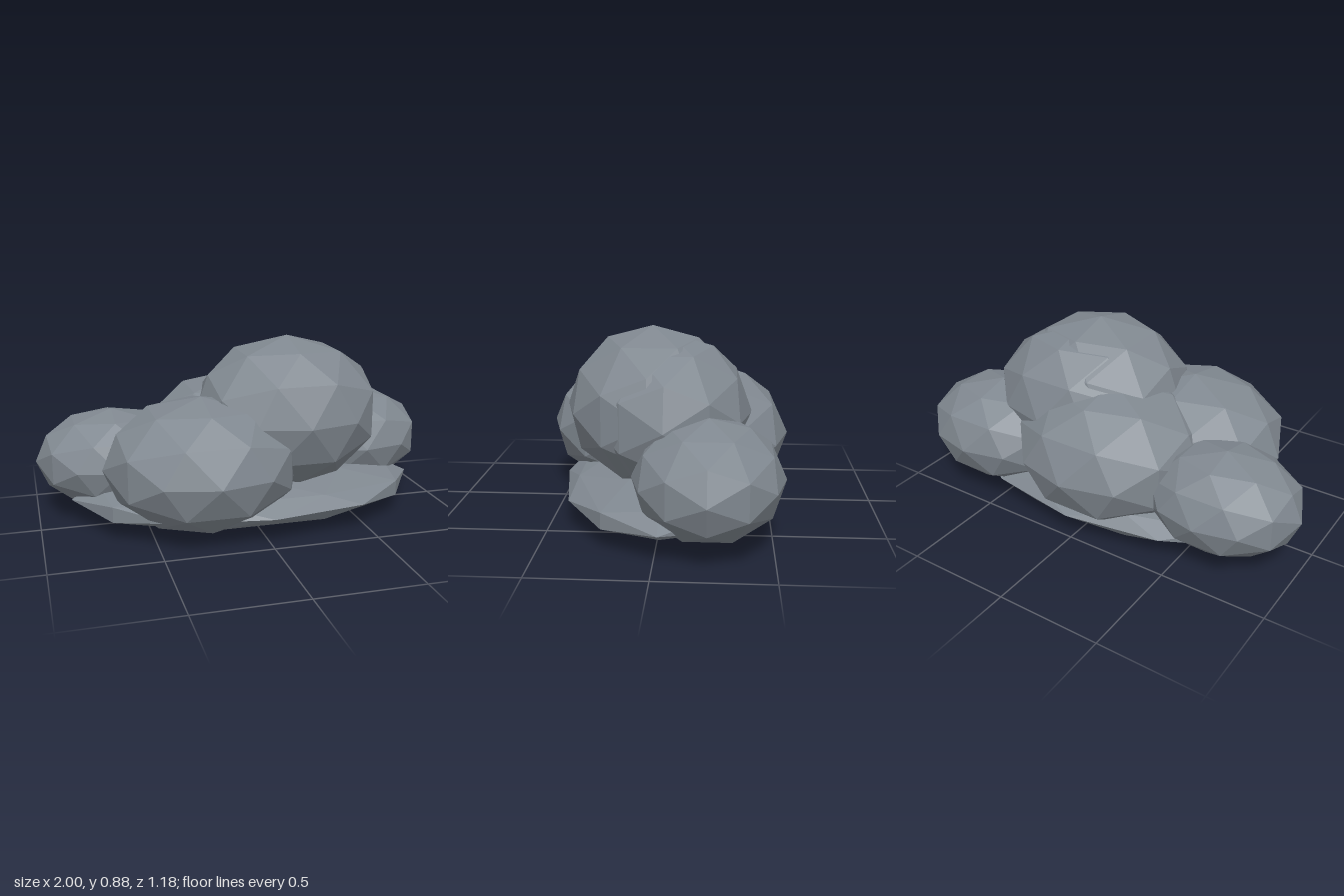
import * as THREE from 'three';

export function createModel() {
  const cloud = new THREE.Group();
  cloud.name = 'cloud';

  const stormGrey = new THREE.MeshStandardMaterial({ color: 0x808890, flatShading: true });
  stormGrey.name = 'stormGrey';

  // Low-poly ball shared by every puff, turned so its long edges lie across the top
  const ball = new THREE.IcosahedronGeometry(1, 1);
  ball.rotateY(Math.PI / 2);

  // name, centre, radii
  const puffs = [
    ['flatBase', [0.01, 0.13, -0.02], [0.86, 0.12, 0.5]],
    ['topPuff', [0.19, 0.52, 0.045], [0.455, 0.365, 0.395]],
    ['topPuffBack', [0.24, 0.5, -0.03], [0.44, 0.355, 0.38]],
    ['frontPuff', [-0.26, 0.33, 0.18], [0.46, 0.315, 0.41]],
    ['backPuff', [-0.01, 0.34, -0.15], [0.48, 0.34, 0.44]],
    ['leftPuff', [0.6, 0.295, -0.22], [0.395, 0.26, 0.33]],
    ['rightPuff', [-0.63, 0.285, -0.18], [0.37, 0.24, 0.305]],
  ];
  for (const [name, centre, radii] of puffs) {
    const puff = new THREE.Mesh(ball.clone().scale(...radii), stormGrey);
    puff.name = name;
    puff.position.set(...centre);
    cloud.add(puff);
  }
  return cloud;
}
